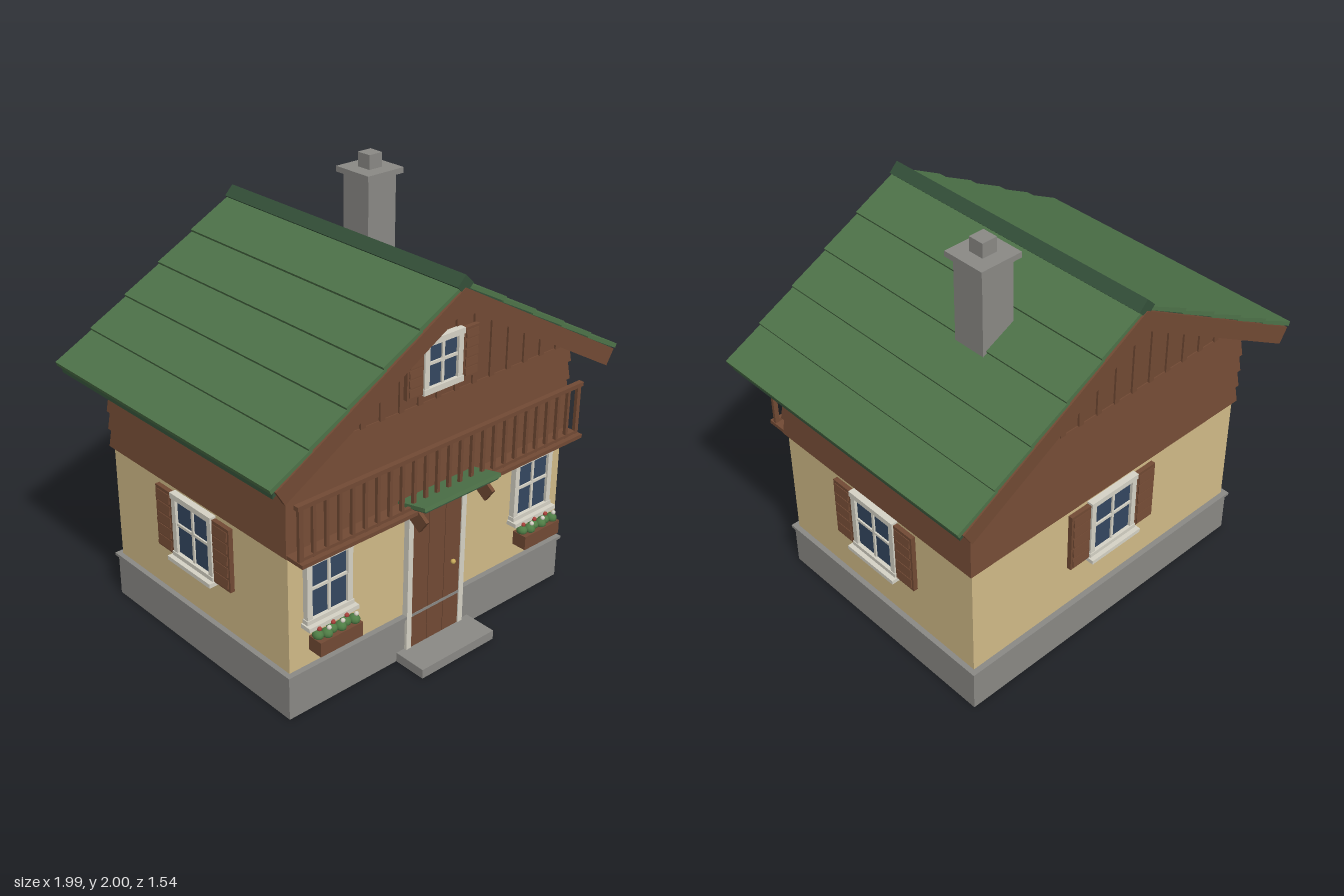
import * as THREE from 'three';

const mat = (name, color) => Object.assign(new THREE.MeshStandardMaterial({ color }), { name });

export function createModel() {
  const house = new THREE.Group();
  house.name = 'house';
  const stone = mat('stone grey', 0x8a8985);
  const stucco = mat('cream stucco', 0xd2bb88);
  const wood = mat('brown wood', 0x724a34);
  const roofGreen = mat('roof green', 0x4e7349);
  const darkGreen = mat('dark green', 0x345039);
  const white = mat('off white', 0xd6d3c6);
  const glass = mat('window blue', 0x344761);
  const leaf = mat('leaf green', 0x4f7d45);
  const red = mat('flower red', 0xa8403a);
  const brass = mat('brass', 0xc8aa5a);

  const add = (parent, name, geo, material, x = 0, y = 0, z = 0) => {
    const m = new THREE.Mesh(geo, material);
    m.name = name;
    m.position.set(x, y, z);
    parent.add(m);
    return m;
  };
  const box = (parent, name, material, w, h, d, x, y, z) =>
    add(parent, name, new THREE.BoxGeometry(w, h, d), material, x, y, z);
  const prism = (points, depth) => new THREE.ExtrudeGeometry(
    new THREE.Shape(points.map(([x, y]) => new THREE.Vector2(x, y))), { depth, bevelEnabled: false });
  const group = (name, x = 0, y = 0, z = 0, ry = 0) => {
    const g = new THREE.Group();
    g.name = name;
    g.position.set(x, y, z);
    g.rotation.y = ry;
    house.add(g);
    return g;
  };

  // Masonry: plinth, ledge, plastered walls
  const midZ = -0.02;
  box(house, 'plinth', stone, 1.65, 0.205, 1.25, 0, 0.1025, midZ);
  box(house, 'plinthLedge', stone, 1.67, 0.014, 1.274, 0, 0.212, midZ);
  box(house, 'plasterWalls', stucco, 1.62, 0.58, 1.22, 0, 0.5, midZ);

  // Clapboard storey: each plank flares out at its lower edge
  const plankH = 0.0875;
  for (let i = 0; i < 5; i++) {
    const g = new THREE.BoxGeometry(1.655, plankH, 1.25);
    const p = g.attributes.position;
    for (let k = 0; k < p.count; k++) {
      if (p.getY(k) > 0) p.setXYZ(k, p.getX(k) * 0.988, p.getY(k), p.getZ(k) * 0.984);
    }
    g.computeVertexNormals();
    add(house, 'wallPlank', g, wood, 0, 0.785 + (i + 0.5) * plankH, midZ);
  }

  // Gable walls with vertical battens front and back
  add(house, 'gable', prism([[-0.815, 1.2], [0.815, 1.2], [0.815, 1.24], [0, 1.71], [-0.815, 1.24]], 1.22),
    wood, 0, 0, -0.63);
  for (let i = -7; i <= 7; i++) {
    const x = i * 0.105;
    const h = 1.7 - Math.abs(x) * 0.577 - 1.23;
    for (const z of [0.594, -0.634]) box(house, 'gableBatten', wood, 0.028, h, 0.012, x, 1.22 + h / 2, z);
  }

  // Roof: slab, overlapping courses and barge boards, mirrored left and right
  const slope = 0.575, angle = Math.atan(slope);
  for (const s of [-1, 1]) {
    const side = (pts) => (s > 0 ? pts : pts.map(([x, y]) => [-x, y]).reverse());
    add(house, 'roofSlab', prism(side([[0, 1.718], [0.97, 1.16], [0.97, 1.197], [0, 1.755]]), 1.46),
      darkGreen, 0, 0, -0.75);
    for (let i = 0; i < 5; i++) {
      const x0 = i ? 0.05 + i * 0.187 - 0.012 : 0.01;
      const x1 = 0.05 + (i + 1) * 0.187;
      const y0 = 1.755 - slope * x0, y1 = 1.755 - slope * x1;
      add(house, 'roofCourse',
        prism(side([[x0, y0 - 0.005], [x1, y1 + 0.002], [x1 + 0.008, y1 + 0.022], [x0, y0 + 0.012]]), 1.485),
        roofGreen, 0, 0, -0.7625);
    }
    for (const z of [0.712, -0.768]) {
      add(house, 'bargeBoard',
        prism(side([[0, 1.652], [0.925, 1.125], [0.967, 1.195], [0, 1.746]]), 0.016), wood, 0, 0, z);
    }
  }
  const ridge = box(house, 'ridgeCap', darkGreen, 0.062, 0.062, 1.49, 0, 1.756, midZ);
  ridge.rotation.z = Math.PI / 4;

  // Chimney
  box(house, 'chimneyStack', stone, 0.165, 0.55, 0.165, 0.366, 1.635, -0.235);
  box(house, 'chimneyCap', stone, 0.212, 0.026, 0.212, 0.366, 1.92, -0.235);
  box(house, 'chimneyFlue', stone, 0.076, 0.07, 0.076, 0.366, 1.965, -0.235);

  // Window facing +z, with its back on the wall at z = 0
  const makeWindow = (name, x, y, z, ry, w, h, sill, shutter) => {
    const g = group(name, x, y, z, ry);
    const f = 0.027;
    box(g, 'pane', glass, w - f, h - f, 0.012, 0, 0, 0.008);
    for (const s of [-1, 1]) {
      box(g, 'frameSide', white, f, h, 0.028, s * (w - f) / 2, 0, 0.014);
      box(g, 'frameRail', white, w + 0.008, f, 0.032, 0, s * (h - f) / 2, 0.016);
    }
    box(g, 'mullion', white, 0.013, h - f, 0.01, 0, 0, 0.017);
    box(g, 'crossBar', white, w - f, 0.013, 0.01, 0, 0.01, 0.017);
    if (sill) box(g, 'sill', white, w + 0.024, 0.02, 0.054, 0, -h / 2 - 0.003, 0.027);
    if (shutter) for (const s of [-1, 1]) {
      const cx = s * (w / 2 + 0.005 + shutter / 2), sh = h - 0.015;
      box(g, 'shutter', wood, shutter, sh, 0.022, cx, -0.002, 0.013);
      for (let i = 0; i < 5; i++) {
        const slat = box(g, 'shutterSlat', wood, shutter - 0.02, sh / 7, 0.008,
          cx, -0.002 + (i - 2) * sh / 5.3, 0.026);
        slat.rotation.x = -0.12;
      }
    }
  };
  for (const s of [-1, 1]) {
    makeWindow('frontWindow', s * 0.61, 0.585, 0.59, 0, 0.245, 0.31, true, 0);
    makeWindow('sideWindow', s * 0.81, 0.6, -0.022, s * Math.PI / 2, 0.28, 0.32, true, 0.115);
  }
  makeWindow('backWindow', 0, 0.6, -0.63, Math.PI, 0.28, 0.32, true, 0.115);
  makeWindow('atticWindow', 0, 1.392, 0.596, 0, 0.218, 0.242, false, 0.09);

  // Flower boxes with foliage and blossoms
  for (const s of [-1, 1]) {
    const g = group('flowerBox', s * 0.61, 0, 0.652);
    box(g, 'planter', wood, 0.23, 0.068, 0.075, 0, 0.349, 0);
    for (let i = 0; i < 6; i++) {
      const x = (i - 2.5) * 0.037;
      const bush = add(g, 'foliage', new THREE.SphereGeometry(0.024, 10, 8), leaf, x, 0.394, i % 2 ? 0.008 : -0.006);
      bush.scale.set(1, 0.95, 1.15);
      add(g, 'blossom', new THREE.SphereGeometry(0.011, 8, 6), i % 2 ? white : red,
        x + 0.006, 0.42, i % 2 ? 0.014 : -0.004);
    }
  }

  // Door, frame, knob and step
  const door = group('door', 0, 0, 0);
  for (let i = -1; i <= 1; i++) box(door, 'doorPlank', wood, 0.094, 0.7, 0.03, i * 0.097, 0.395, 0.6);
  box(door, 'doorBacking', wood, 0.288, 0.7, 0.02, 0, 0.395, 0.602);
  for (const s of [-1, 1]) box(door, 'doorJamb', white, 0.028, 0.72, 0.034, s * 0.159, 0.405, 0.602);
  box(door, 'doorLintel', white, 0.346, 0.028, 0.036, 0, 0.756, 0.602);
  add(door, 'doorKnob', new THREE.SphereGeometry(0.012, 12, 8), brass, 0.097, 0.393, 0.624);
  box(house, 'doorStep', stone, 0.44, 0.045, 0.17, 0, 0.0225, 0.685);

  // Door canopy on slanted brackets
  const canopy = box(house, 'doorCanopy', roofGreen, 0.45, 0.018, 0.17, 0, 0.822, 0.678);
  canopy.rotation.x = -0.22;
  const canopyEdge = box(house, 'canopyEdge', darkGreen, 0.43, 0.012, 0.16, 0, 0.81, 0.678);
  canopyEdge.rotation.x = -0.22;
  for (const s of [-1, 1]) {
    const bracket = box(house, 'canopyBracket', wood, 0.018, 0.075, 0.107, s * 0.196, 0.765, 0.686);
    bracket.rotation.x = 0.6;
  }

  // Balcony: floor, railing and balusters
  const balcony = group('balcony');
  box(balcony, 'balconyFloor', wood, 1.65, 0.018, 0.12, 0, 0.794, 0.642);
  box(balcony, 'handRail', wood, 1.66, 0.02, 0.026, 0, 1.048, 0.672);
  box(balcony, 'lowerRail', wood, 1.64, 0.014, 0.016, 0, 0.812, 0.672);
  for (let i = 0; i <= 24; i++) {
    const end = i % 24 === 0;
    box(balcony, end ? 'cornerPost' : 'baluster', wood, end ? 0.022 : 0.016, 0.24, 0.016,
      (i - 12) * 0.0675, 0.92, 0.672);
  }
  return house;
}
